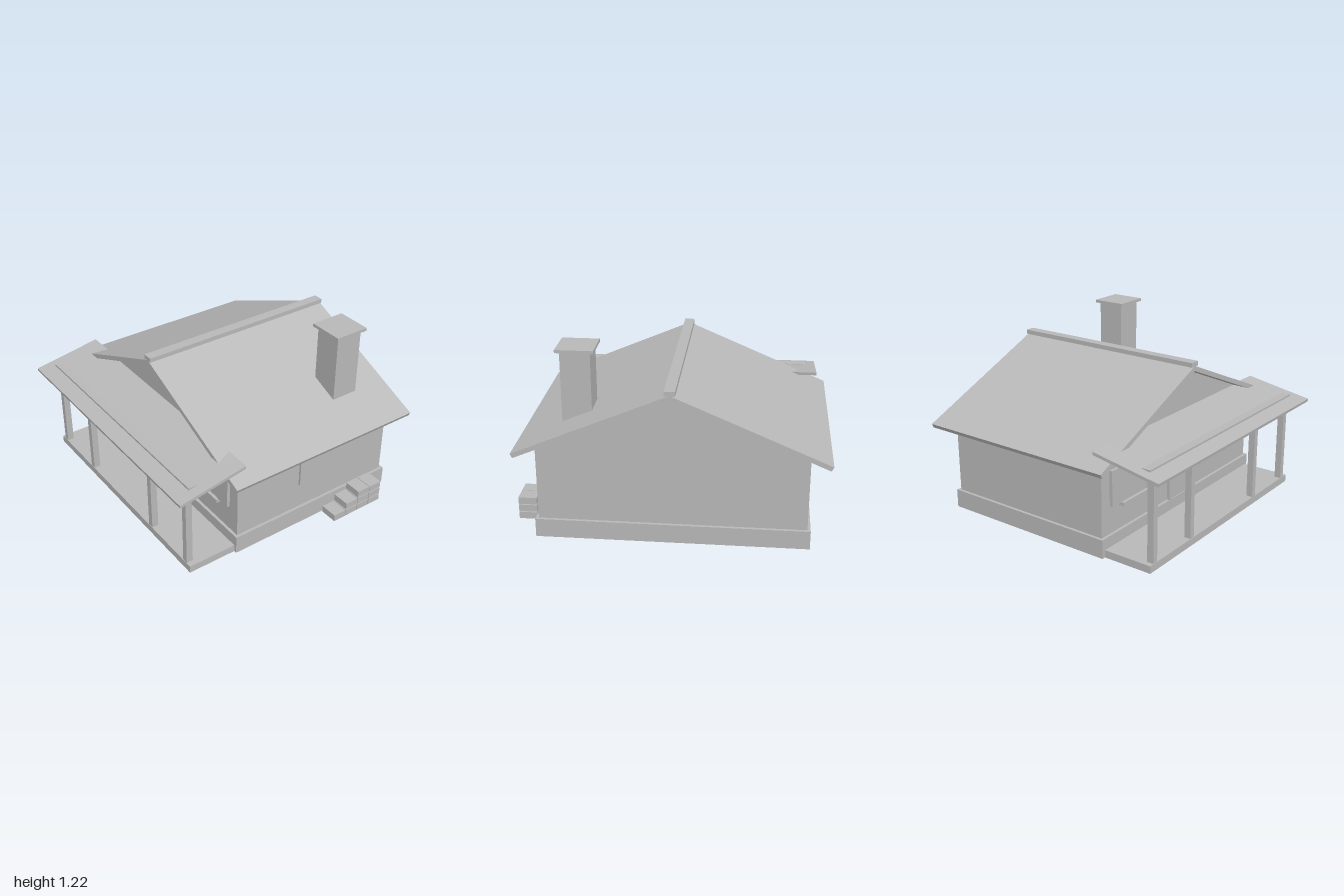
import * as THREE from 'three';

export function createModel() {
  const model = new THREE.Group();
  const grey = new THREE.MeshStandardMaterial({ color: 0xb8b8b8 });
  grey.name = 'plain grey';

  function add(name, geometry) {
    const mesh = new THREE.Mesh(geometry, grey);
    mesh.name = name;
    model.add(mesh);
    return mesh;
  }

  // Box given by its limits on each axis
  function box(name, x0, x1, y0, y1, z0, z1) {
    const mesh = add(name, new THREE.BoxGeometry(x1 - x0, y1 - y0, z1 - z0));
    mesh.position.set((x0 + x1) / 2, (y0 + y1) / 2, (z0 + z1) / 2);
    return mesh;
  }

  function extrude(points, depth) {
    const shape = new THREE.Shape(points.map(([x, y]) => new THREE.Vector2(x, y)));
    return new THREE.ExtrudeGeometry(shape, { depth, bevelEnabled: false });
  }

  // House body
  const mid = -0.02;
  box('foundation', -0.89, 0.85, 0, 0.125, -0.81, 0.45);
  add('gabledWalls', extrude([
    [-0.87, 0.12], [0.83, 0.12], [0.83, 0.645], [mid, 1.005], [-0.87, 0.645],
  ], 1.22)).position.z = -0.79;

  // Main roof and ridge
  add('mainRoof', extrude([
    [mid - 0.966, 0.588], [mid, 1.0], [mid + 0.966, 0.588],
    [mid + 0.98, 0.616], [mid, 1.034], [mid - 0.98, 0.616],
  ], 1.42)).position.z = -0.89;
  box('ridgeCap', mid - 0.034, mid + 0.034, 1.03, 1.06, -0.89, 0.53);

  // Chimney
  box('chimney', 0.49, 0.68, 0.65, 1.197, -0.64, -0.45);
  box('chimneyCap', 0.465, 0.705, 1.195, 1.215, -0.665, -0.425);

  // Porch
  box('porchFloor', -0.865, 0.83, 0, 0.05, 0.44, 0.79);
  for (const x of [-0.81, -0.41, 0.365, 0.77]) {
    box('porchPost', x - 0.02, x + 0.02, 0.05, 0.63, 0.742, 0.787);
  }
  box('porchBeam', -0.87, 0.83, 0.617, 0.667, 0.727, 0.787);
  // Profile is drawn as (-z, y) and turned so that it runs along x
  const porchRoof = add('porchRoof', extrude([
    [-0.892, 0.615], [-0.425, 0.696], [-0.422, 0.717], [-0.895, 0.635],
  ], 1.84));
  porchRoof.rotation.y = Math.PI / 2;
  porchRoof.position.x = -0.94;

  // Front door
  box('doorJamb', -0.17, -0.14, 0.09, 0.57, 0.42, 0.45);
  box('doorJamb', 0.10, 0.13, 0.09, 0.57, 0.42, 0.45);
  box('doorHead', -0.14, 0.10, 0.54, 0.57, 0.42, 0.45);
  box('door', -0.14, 0.10, 0.12, 0.54, 0.42, 0.444);
  box('doorHandle', 0.045, 0.065, 0.248, 0.268, 0.44, 0.465);
  box('doorCanopy', -0.22, 0.175, 0.57, 0.62, 0.42, 0.475);

  // Front windows with shutters and sills
  for (const x of [-0.555, 0.515]) {
    box('frontWindow', x - 0.122, x + 0.122, 0.308, 0.546, 0.42, 0.446);
    for (const side of [-1, 1]) {
      const c = x + side * 0.178;
      box('shutter', c - 0.055, c + 0.055, 0.308, 0.546, 0.42, 0.45);
    }
    box('windowSill', x - 0.14, x + 0.14, 0.285, 0.308, 0.42, 0.467);
  }

  // Side window
  box('sideWindow', 0.81, 0.845, 0.308, 0.548, -0.30, -0.06);

  // Stepped stack of blocks beside the house
  for (let row = 0; row < 3; row++) {
    for (let i = 0; i < 4 - row; i++) {
      const z = -0.59 + i * 0.1;
      const y = 0.026 + row * 0.053;
      box('stackedBlock', 0.88, 1.0, y, y + 0.047, z - 0.048, z + 0.048);
    }
  }

  return model;
}
